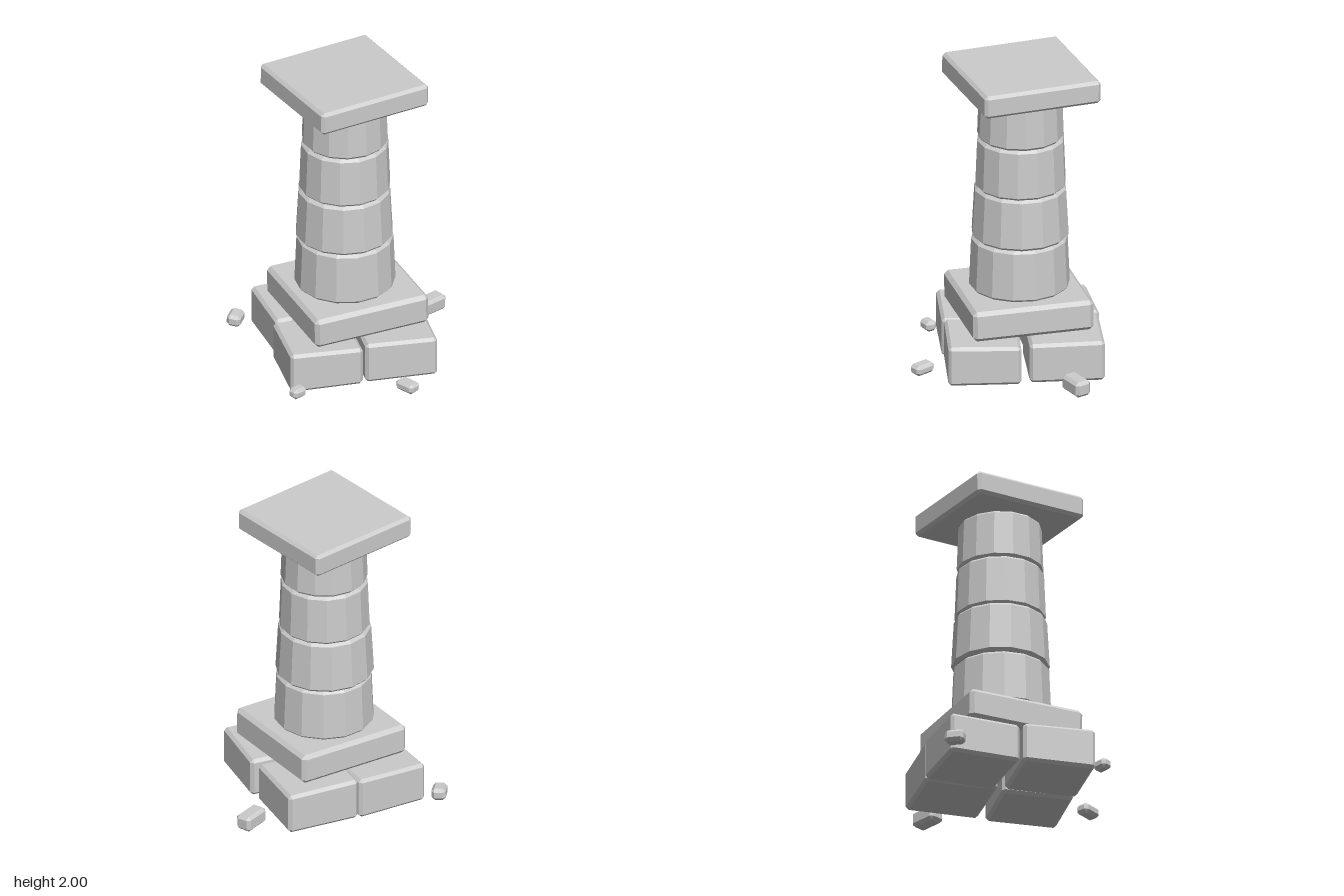
import * as THREE from 'three';
import { ConvexGeometry } from 'three/addons/geometries/ConvexGeometry.js';

const stone = new THREE.MeshStandardMaterial({ color: 0xcccccc, flatShading: true });
const deg = THREE.MathUtils.degToRad;

// Box with chamfered edges; its top may slope along x and z
function chamferedBox(w, h, d, c, slopeX = 0, slopeZ = 0) {
  const points = [];
  for (const sx of [-1, 1]) for (const sy of [-1, 1]) for (const sz of [-1, 1]) {
    for (let axis = 0; axis < 3; axis++) {
      const p = new THREE.Vector3(
        sx * (w / 2 - (axis === 0 ? 0 : c)),
        sy * (h / 2 - (axis === 1 ? 0 : c)),
        sz * (d / 2 - (axis === 2 ? 0 : c)));
      if (sy > 0) p.y += slopeX * p.x + slopeZ * p.z;
      points.push(p);
    }
  }
  return new ConvexGeometry(points);
}

// Tapered column drum with chamfered rims
function drumGeometry(rBottom, rTop, h, c) {
  const profile = [
    [0, 0], [rBottom - c, 0], [rBottom, c], [rTop, h - c], [rTop - c, h], [0, h],
  ].map(([r, y]) => new THREE.Vector2(r, y));
  const geometry = new THREE.LatheGeometry(profile, 14).toNonIndexed();
  geometry.computeVertexNormals();
  return geometry;
}

export function createModel() {
  const model = new THREE.Group();
  model.name = 'ruinedColumn';

  function add(name, geometry, x, y, z, yaw = 0, tiltX = 0, tiltZ = 0) {
    const mesh = new THREE.Mesh(geometry, stone);
    mesh.name = name;
    mesh.position.set(x, y, z);
    mesh.rotation.set(tiltX, deg(yaw), tiltZ);
    model.add(mesh);
  }

  // Four foundation blocks: name, x, z, width, height, depth, yaw, top slopes
  const blocks = [
    ['backRightBlock', -0.285, -0.35, 0.48, 0.265, 0.47, 4.5, 0.02, -0.02],
    ['backLeftBlock', 0.18, -0.35, 0.485, 0.27, 0.48, -0.5, -0.02, -0.01],
    ['frontRightBlock', -0.3, 0.16, 0.475, 0.26, 0.475, -1.5, -0.03, 0.02],
    ['frontLeftBlock', 0.195, 0.17, 0.47, 0.265, 0.465, -2.5, -0.02, 0.02],
  ];
  for (const [name, x, z, w, h, d, yaw, slopeX, slopeZ] of blocks) {
    add(name, chamferedBox(w, h, d, 0.02, slopeX, slopeZ), x, h / 2 + 0.004, z, yaw);
  }

  // Plinth slab, turned and slightly tilted
  add('plinth', chamferedBox(0.79, 0.2, 0.79, 0.025), -0.035, 0.393, -0.085, 8.3, 0.01, 0.015);

  // Stacked drums: base y, height, bottom radius, top radius, x, z, yaw
  const drums = [
    [0.495, 0.347, 0.322, 0.309, -0.052, -0.09, 0],
    [0.843, 0.343, 0.314, 0.297, -0.055, -0.096, 9],
    [1.184, 0.338, 0.292, 0.28, -0.052, -0.097, 4],
    [1.522, 0.325, 0.277, 0.266, -0.05, -0.097, 14],
  ];
  drums.forEach(([y, h, rBottom, rTop, x, z, yaw], i) => {
    add(`drum${i + 1}`, drumGeometry(rBottom, rTop, h, 0.018), x, y, z, yaw);
  });

  // Cap slab
  add('cap', chamferedBox(0.79, 0.153, 0.79, 0.02), -0.052, 1.919, -0.103, 15, -0.008, -0.008);

  // Loose rubble: x, z, width, height, depth, yaw
  const rubble = [
    [-0.638, -0.57, 0.092, 0.08, 0.125, -33],
    [0.597, -0.385, 0.19, 0.105, 0.11, 27],
    [-0.515, 0.443, 0.105, 0.07, 0.078, 27],
    [0.18, 0.555, 0.092, 0.07, 0.14, 34],
  ];
  rubble.forEach(([x, z, w, h, d, yaw], i) => {
    add(`rubble${i + 1}`, chamferedBox(w, h, d, 0.02), x, h / 2 + 0.007, z, yaw, 0.04, -0.04);
  });

  return model;
}
